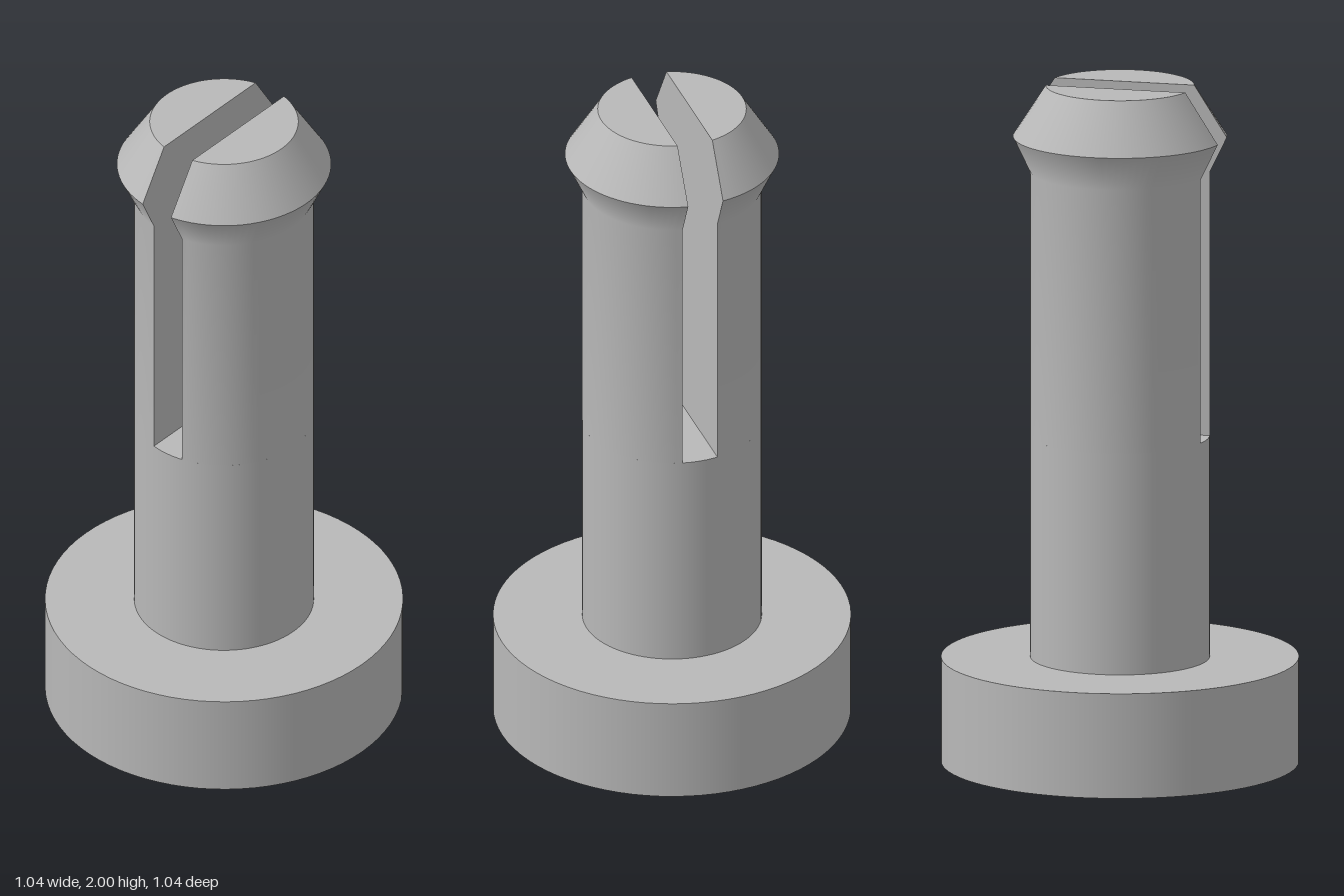
import * as THREE from 'three';

const SLOT = 0.053, SLOT_Y = 0.965, TOP = 2, STEPS = 40;
const SHAFT = [0.26, SLOT_Y], NECK = [0.26, 1.745], RIM = [0.31, 1.85], TIP = [0.215, TOP];

// Points of the arc of radius r that lies beyond the slot plane
function arc(r, y) {
  const half = Math.acos(SLOT / r);
  return Array.from({ length: STEPS + 1 }, (_, i) => {
    const a = -half + (2 * half * i) / STEPS;
    return [r * Math.cos(a), y, r * Math.sin(a)];
  });
}

function build(points, index) {
  const g = new THREE.BufferGeometry();
  g.setAttribute('position', new THREE.Float32BufferAttribute(points.flat(), 3));
  g.setIndex(index);
  g.computeVertexNormals();
  return g;
}

// Curved outer wall through a list of [radius, height] levels
function wall(levels) {
  const index = [], n = STEPS + 1;
  for (let l = 0; l < levels.length - 1; l++) {
    for (let i = 0; i < STEPS; i++) {
      const a = l * n + i, b = a + n;
      index.push(a, b, a + 1, a + 1, b, b + 1);
    }
  }
  return build(levels.flatMap(([r, y]) => arc(r, y)), index);
}

// Flat top of a prong
function cap() {
  const index = [];
  for (let i = 1; i <= STEPS; i++) index.push(0, i + 1, i);
  return build([[SLOT, TOP, 0], ...arc(...TIP)], index);
}

// Flat face of a prong along the slot
function slotFace() {
  const side = [SHAFT, NECK, RIM, TIP].map(([r, y]) => new THREE.Vector2(Math.sqrt(r * r - SLOT * SLOT), y));
  const mirrored = side.map((p) => new THREE.Vector2(-p.x, p.y)).reverse();
  return new THREE.ShapeGeometry(new THREE.Shape([...side, ...mirrored]))
    .rotateY(-Math.PI / 2)
    .translate(SLOT, 0, 0);
}

export function createModel() {
  const model = new THREE.Group();
  model.name = 'snapPin';
  const grey = new THREE.MeshStandardMaterial({ color: 0xb8b8b8 });
  grey.name = 'grey';

  const add = (parent, name, geometry, y = 0) => {
    const mesh = new THREE.Mesh(geometry, grey);
    mesh.name = name;
    mesh.position.y = y;
    parent.add(mesh);
  };

  // Round foot and the solid lower shaft, whose top is the slot floor
  const footHeight = 0.31;
  add(model, 'foot', new THREE.CylinderGeometry(0.518, 0.518, footHeight, 80), footHeight / 2);
  add(model, 'shaft', new THREE.CylinderGeometry(0.26, 0.26, SLOT_Y - footHeight, 80), (SLOT_Y + footHeight) / 2);

  // Two barbed prongs either side of the slot
  ['leftProng', 'rightProng'].forEach((name, i) => {
    const prong = new THREE.Group();
    prong.name = name;
    prong.rotation.y = i * Math.PI;
    add(prong, 'prongWall', wall([SHAFT, NECK, RIM]));
    add(prong, 'barbTaper', wall([RIM, TIP]));
    add(prong, 'prongTop', cap());
    add(prong, 'slotFace', slotFace());
    model.add(prong);
  });
  return model;
}
